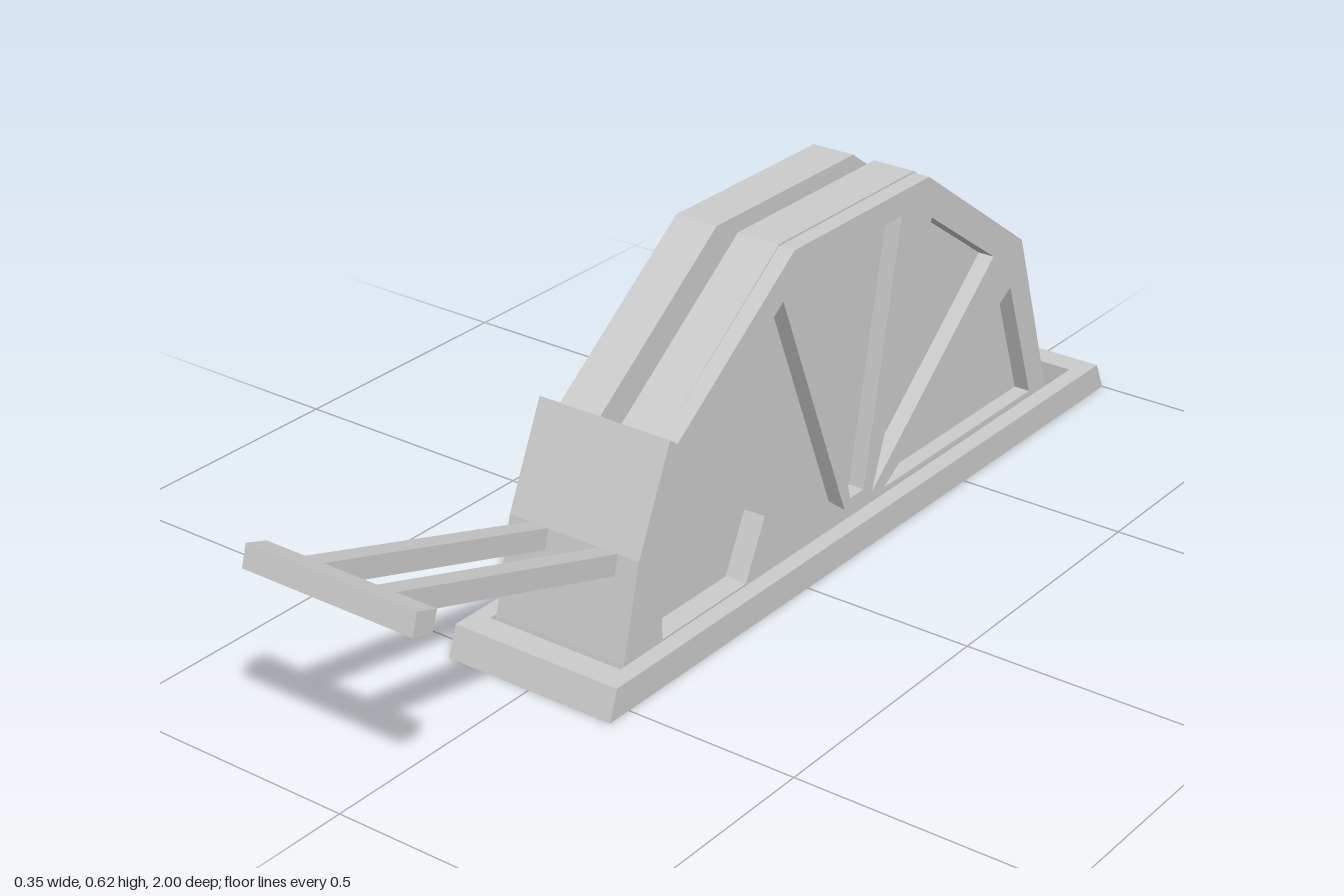
import * as THREE from 'three';

const material = new THREE.MeshStandardMaterial({ color: 0xcccccc, flatShading: true, side: THREE.DoubleSide });

const toPoints = (list) => list.map(([z, y]) => new THREE.Vector2(z, y));

// Extrudes a side profile of [z, y] corners across the width from x0 to x1
function slab(name, profile, x0, x1, holes = []) {
  const shape = new THREE.Shape(toPoints(profile));
  holes.forEach((h) => shape.holes.push(new THREE.Path(toPoints(h))));
  const geometry = new THREE.ExtrudeGeometry(shape, { depth: x1 - x0, bevelEnabled: false });
  geometry.rotateY(-Math.PI / 2).translate(x1, 0, 0);
  const mesh = new THREE.Mesh(geometry, material);
  mesh.name = name;
  return mesh;
}

export function createModel() {
  const model = new THREE.Group();
  model.name = 'fanShapedStand';

  // Base frame: two long rails and two end rails with sloping outer faces
  const base = new THREE.Group();
  base.name = 'baseFrame';
  const baseProfile = [[0.55, 0], [0.53, 0.056], [-0.975, 0.056], [-1, 0]];
  base.add(slab('baseRailRight', baseProfile, -0.173, -0.14));
  base.add(slab('baseRailLeft', baseProfile, 0.138, 0.171));
  base.add(slab('baseRailFront', [[0.55, 0], [0.53, 0.056], [0.48, 0.056], [0.48, 0]], -0.14, 0.138));
  base.add(slab('baseRailBack', [[-0.925, 0], [-0.925, 0.056], [-0.975, 0.056], [-1, 0]], -0.14, 0.138));
  model.add(base);

  // Two upright half-decagon plates
  const arch = [[0.435, 0.004], [0.31, 0.39], [-0.015, 0.625], [-0.42, 0.625], [-0.745, 0.39], [-0.869, 0.004]];
  model.add(slab('plateRight', arch, -0.123, -0.037));
  model.add(slab('plateLeft', arch, 0.008, 0.093));

  // Spoked fan layer on the left plate
  const pocket = [[0.365, 0.058], [0.374, 0.198], [0.273, 0.289], [0.08, 0.166], [0.134, 0.058]];
  const fanPocket = [[0.355, 0.058], [0.336, 0.232], [0.273, 0.289], [0.08, 0.166], [0.134, 0.058]];
  const windows = [
    [[-0.3, 0.056], [-0.711, 0.305], [-0.797, 0.056]],
    [[-0.262, 0.064], [-0.433, 0.54], [-0.647, 0.39]],
    [[-0.193, 0.08], [-0.075, 0.567], [-0.337, 0.577], [-0.235, 0.08]],
    [[-0.176, 0.064], [0.235, 0.38], [0.016, 0.54]],
    fanPocket,
  ];
  const fanProfile = arch.map(([z, y]) => [z, Math.min(y, 0.622)]);
  model.add(slab('spokedFan', fanProfile, 0.093, 0.125, windows));

  // Front housing: sloping front wall and thin side panels
  const housing = new THREE.Group();
  housing.name = 'frontHousing';
  const panel = [[0.477, 0.01], [0.468, 0.056], [0.425, 0.23], [0.34, 0.416], [0.305, 0.39], [-0.155, 0.064], [-0.23, 0.01]];
  housing.add(slab('housingPanelRight', panel, -0.137, -0.123));
  housing.add(slab('housingPanelLeft', panel, 0.125, 0.136, [pocket]));
  const frontWall = [[0.477, 0.01], [0.468, 0.056], [0.425, 0.23], [0.34, 0.416], [0.305, 0.39], [0.39, 0.21], [0.445, 0.01]];
  housing.add(slab('housingFrontWall', frontWall, -0.123, 0.125));
  model.add(housing);

  // Pull handle: two sloping arms and a crossbar
  const handle = new THREE.Group();
  handle.name = 'handle';
  const arm = [[0.4, 0.223], [0.415, 0.188], [0.957, 0.362], [0.945, 0.398]];
  for (const side of [-1, 1]) {
    const x = side * 0.0735;
    handle.add(slab(side < 0 ? 'handleArmRight' : 'handleArmLeft', arm, x - 0.019, x + 0.019));
  }
  const crossbar = [[0.945, 0.398], [0.957, 0.362], [1, 0.374], [0.988, 0.413]];
  handle.add(slab('handleCrossbar', crossbar, -0.173, 0.173));
  model.add(handle);

  return model;
}
